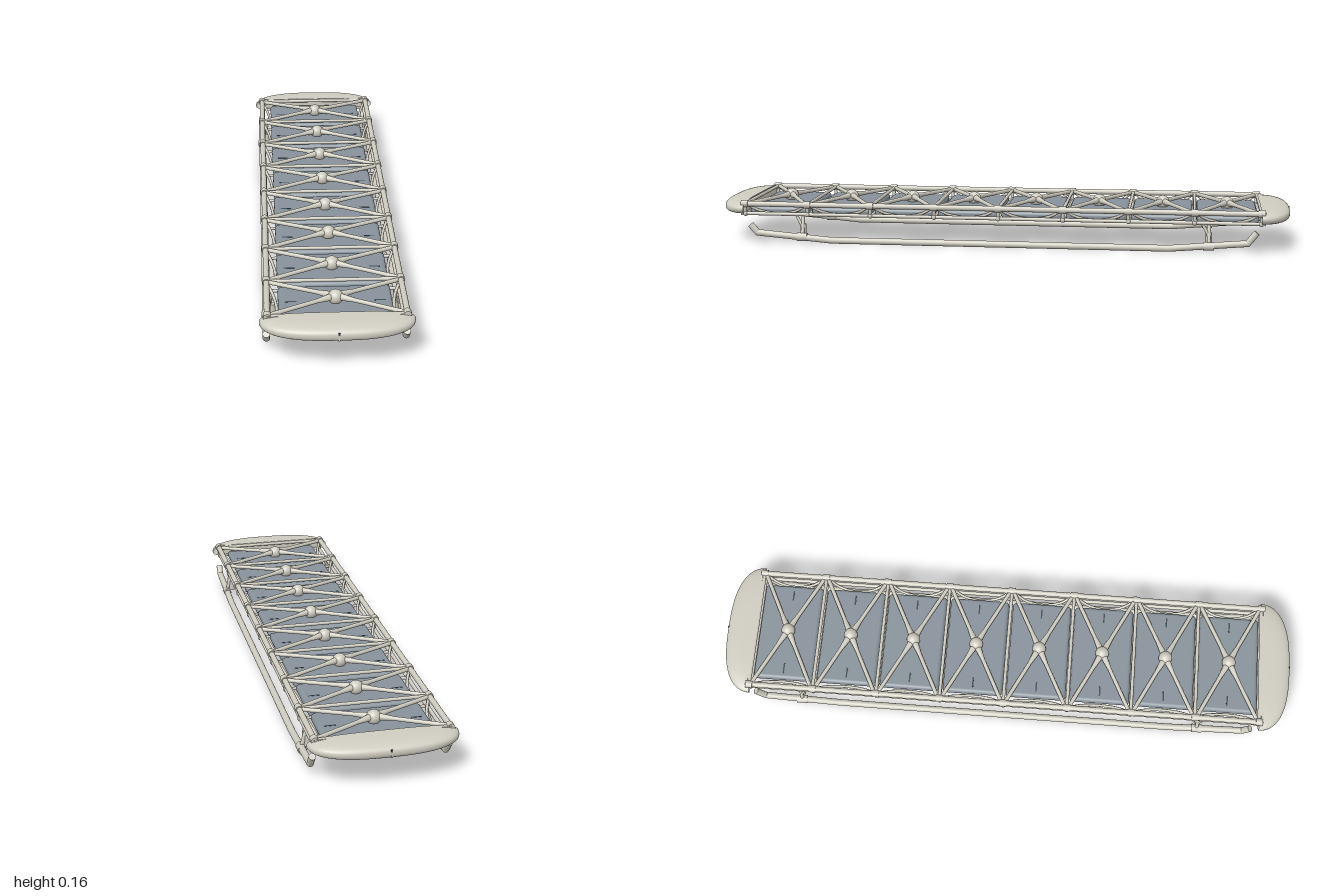
import * as THREE from 'three';
import { RoundedBoxGeometry } from 'three/addons/geometries/RoundedBoxGeometry.js';
import { ParametricGeometry } from 'three/addons/geometries/ParametricGeometry.js';

const shell = new THREE.MeshStandardMaterial({ color: 0xcfccc0, side: THREE.DoubleSide });
const panelGrey = new THREE.MeshStandardMaterial({ color: 0x88929a });
const dark = new THREE.MeshStandardMaterial({ color: 0x3c5058 });
const BAYS = 8, HALF = 0.895, BAY = (2 * HALF) / BAYS;
const RAIL_X = 0.212, TOP_Y = 0.135, LOW_Y = 0.1;
const V = (x, y, z) => new THREE.Vector3(x, y, z);

function add(parent, name, geometry, material, x = 0, y = 0, z = 0) {
  const mesh = new THREE.Mesh(geometry, material);
  mesh.name = name;
  mesh.position.set(x, y, z);
  parent.add(mesh);
  return mesh;
}

// Straight round bar between two points, optionally tapered
function bar(parent, name, a, b, r, rEnd = r) {
  const d = b.clone().sub(a);
  const mesh = add(parent, name, new THREE.CylinderGeometry(rEnd, r, d.length(), 14), shell);
  mesh.position.copy(a).add(b).multiplyScalar(0.5);
  mesh.quaternion.setFromUnitVectors(V(0, 1, 0), d.normalize());
  return mesh;
}

const spow = (v, p) => Math.sign(v) * Math.pow(Math.abs(v), p);

// Rounded D-shaped nose, its flat side towards the truss
function endCap(dir) {
  const group = new THREE.Group();
  group.name = dir > 0 ? 'frontCap' : 'backCap';
  const surface = (u, v, out) => {
    const a = u * Math.PI, b = (v - 0.5) * Math.PI;
    const s = Math.pow(Math.max(Math.cos(b), 0), 0.55);
    out.set(0.237 * spow(Math.cos(a), 0.75) * s,
      0.118 + 0.027 * spow(Math.sin(b), 0.75),
      HALF + 0.105 * Math.pow(Math.max(Math.sin(a), 0), 0.9) * s);
  };
  add(group, 'capShell', new ParametricGeometry(surface, 48, 24), shell);
  add(group, 'capBulkhead', new THREE.BoxGeometry(0.43, 0.046, 0.008), shell, 0, 0.118, HALF + 0.01);
  add(group, 'capSlot', new THREE.BoxGeometry(0.005, 0.026, 0.006), shell, 0, 0.116, 0.997);
  add(group, 'capSlotLight', new THREE.BoxGeometry(0.006, 0.008, 0.006), dark, 0, 0.126, 0.9972);
  group.rotation.y = dir > 0 ? 0 : Math.PI;
  return group;
}

// One bay: panel, hub, cross bracing and sagging side arches
function bay(z) {
  const group = new THREE.Group();
  group.name = 'bay';
  group.position.z = z;
  const h = BAY / 2;
  add(group, 'panel', new RoundedBoxGeometry(0.355, 0.028, BAY - 0.014, 4, 0.013), panelGrey, 0, 0.107, 0);
  add(group, 'hub', new THREE.SphereGeometry(0.024, 24, 16), shell, 0, 0.136, 0);
  for (const sx of [-1, 1]) {
    add(group, 'panelGroove', new THREE.BoxGeometry(0.036, 0.002, 0.005), dark, sx * 0.138, 0.1208, 0);
    for (const sz of [-1, 1]) {
      const corner = V(sx * 0.205, TOP_Y, sz * (h - 0.008));
      const centre = V(0, 0.139, 0);
      bar(group, 'brace', corner, centre, 0.007);
      bar(group, 'braceSocket', centre.clone().lerp(corner, 0.28), centre, 0.007, 0.013);
    }
    const arch = new THREE.CatmullRomCurve3([
      V(sx * RAIL_X, TOP_Y, -h), V(sx * 0.19, 0.107, -h * 0.55), V(sx * 0.182, 0.097, 0),
      V(sx * 0.19, 0.107, h * 0.55), V(sx * RAIL_X, TOP_Y, h)]);
    add(group, 'sideArch', new THREE.TubeGeometry(arch, 24, 0.005, 8), shell);
  }
  return group;
}

// Landing skid with upturned ends and two clamped struts
function skid(sx) {
  const group = new THREE.Group();
  group.name = sx > 0 ? 'leftSkid' : 'rightSkid';
  const x = sx * 0.215;
  const pts = [V(x, 0.062, 0.875), V(x, 0.034, 0.85), V(x, 0.0115, 0.585),
    V(x, 0.0115, -0.585), V(x, 0.034, -0.85), V(x, 0.072, -0.88)];
  for (let i = 0; i < pts.length - 1; i++) {
    bar(group, 'skidTube', pts[i], pts[i + 1], 0.0115);
    if (i) add(group, 'skidBend', new THREE.SphereGeometry(0.0115, 14, 10), shell, ...pts[i].toArray());
  }
  for (const z of [0.69, -0.72]) {
    bar(group, 'strut', V(sx * 0.194, 0.1, z), V(x, 0.025, z), 0.0065);
    bar(group, 'strutBrace', V(sx * 0.2, 0.1, z + 0.025), V(sx * 0.207, 0.055, z), 0.005);
    bar(group, 'strutCanister', V(sx * 0.195, 0.027, z), V(sx * 0.195, 0.065, z), 0.0105);
    bar(group, 'skidClamp', V(x, 0.0215, z - 0.018), V(x, 0.0215, z + 0.018), 0.0145);
  }
  return group;
}

export function createModel() {
  const model = new THREE.Group();
  model.name = 'trussPlatform';
  model.add(endCap(1), endCap(-1), skid(1), skid(-1));

  // Long rails
  for (const sx of [-1, 1]) {
    bar(model, 'topRail', V(sx * RAIL_X, TOP_Y, -HALF - 0.01), V(sx * RAIL_X, TOP_Y, HALF + 0.01), 0.0095);
    bar(model, 'lowerRail', V(sx * 0.207, LOW_Y, -HALF - 0.01), V(sx * 0.207, LOW_Y, HALF + 0.01), 0.0065);
  }

  // Bays, with a cross frame at every joint
  for (let i = 0; i <= BAYS; i++) {
    const z = -HALF + i * BAY;
    if (i < BAYS) model.add(bay(z + BAY / 2));
    bar(model, 'crossBar', V(-RAIL_X, TOP_Y, z), V(RAIL_X, TOP_Y, z), 0.006);
    bar(model, 'lowerCrossBar', V(-0.207, LOW_Y, z), V(0.207, LOW_Y, z), 0.005);
    for (const sx of [-1, 1]) {
      bar(model, 'post', V(sx * 0.207, LOW_Y, z), V(sx * RAIL_X, TOP_Y, z), 0.006);
      bar(model, 'railCollar', V(sx * RAIL_X, TOP_Y, z - 0.012), V(sx * RAIL_X, TOP_Y, z + 0.012), 0.0125);
      add(model, 'lowerNode', new THREE.SphereGeometry(0.0095, 14, 10), shell, sx * 0.207, LOW_Y, z);
    }
  }
  return model;
}
